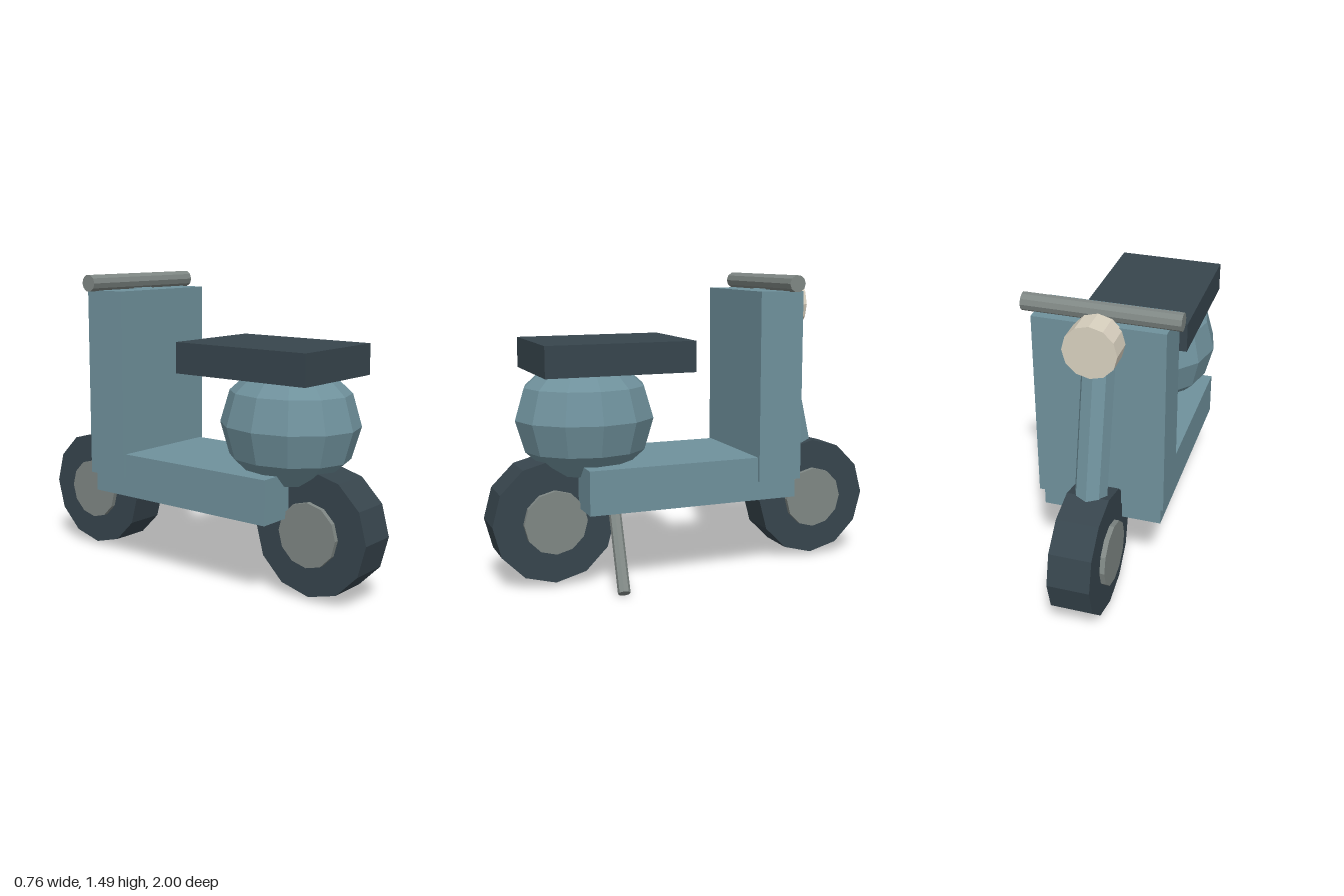
import * as THREE from 'three';

const material = (color) => new THREE.MeshStandardMaterial({ color, flatShading: true, side: THREE.FrontSide });

export function createModel() {
  const root = new THREE.Group();
  root.name = 'scooter';
  const blue = material(0x6f919c);
  const dark = material(0x37454d);
  const metal = material(0x7f8784);
  const cream = material(0xd8d0bf);
  const midX = -0.02; // the stand widens one side, so the body sits off centre

  const add = (name, geometry, mat, x, y, z) => {
    const mesh = new THREE.Mesh(geometry, mat);
    mesh.name = name;
    mesh.position.set(x, y, z);
    root.add(mesh);
    return mesh;
  };

  // Cylinder running between two points
  const rod = (name, from, to, radius, sides, mat) => {
    const a = new THREE.Vector3(...from);
    const b = new THREE.Vector3(...to);
    const mid = a.clone().add(b).multiplyScalar(0.5);
    const mesh = add(name, new THREE.CylinderGeometry(radius, radius, a.distanceTo(b), sides), mat, mid.x, mid.y, mid.z);
    mesh.quaternion.setFromUnitVectors(new THREE.Vector3(0, 1, 0), b.sub(a).normalize());
    return mesh;
  };

  // Wheels with hubs standing slightly proud of the tyres
  for (const [name, z] of [['front', -0.697], ['rear', 0.697]]) {
    rod(name + 'Tyre', [midX - 0.101, 0.325, z], [midX + 0.101, 0.325, z], 0.303, 12, dark);
    rod(name + 'Hub', [midX - 0.125, 0.325, z], [midX + 0.125, 0.325, z], 0.156, 12, metal);
  }

  // Floorboard, leg shield and seat
  add('floorboard', new THREE.BoxGeometry(0.582, 0.215, 1.073), blue, midX, 0.4925, 0.0415);
  add('legShield', new THREE.BoxGeometry(0.618, 0.935, 0.227), blue, midX, 0.9475, -0.4015);
  add('seat', new THREE.BoxGeometry(0.542, 0.15, 0.74), dark, midX, 1.112, 0.405);

  // Rounded engine cover under the seat
  const cover = add('engineCover', new THREE.SphereGeometry(1, 12, 6), blue, midX, 0.81, 0.511);
  cover.scale.set(0.308, 0.31, 0.346);

  // Steering column, handlebar and headlight
  rod('steeringColumn', [midX, 0.42, -0.694], [midX, 1.427, -0.465], 0.078, 8, blue);
  rod('handlebar', [midX - 0.366, 1.452, -0.453], [midX + 0.366, 1.452, -0.453], 0.042, 10, metal);
  rod('headlight', [midX, 1.34, -0.505], [midX, 1.34, -0.635], 0.126, 12, cream);

  // Kickstand leaning out to the left
  rod('kickstand', [-0.01, 0.5, 0.385], [0.356, 0.022, 0.444], 0.03, 8, metal);

  return root;
}
